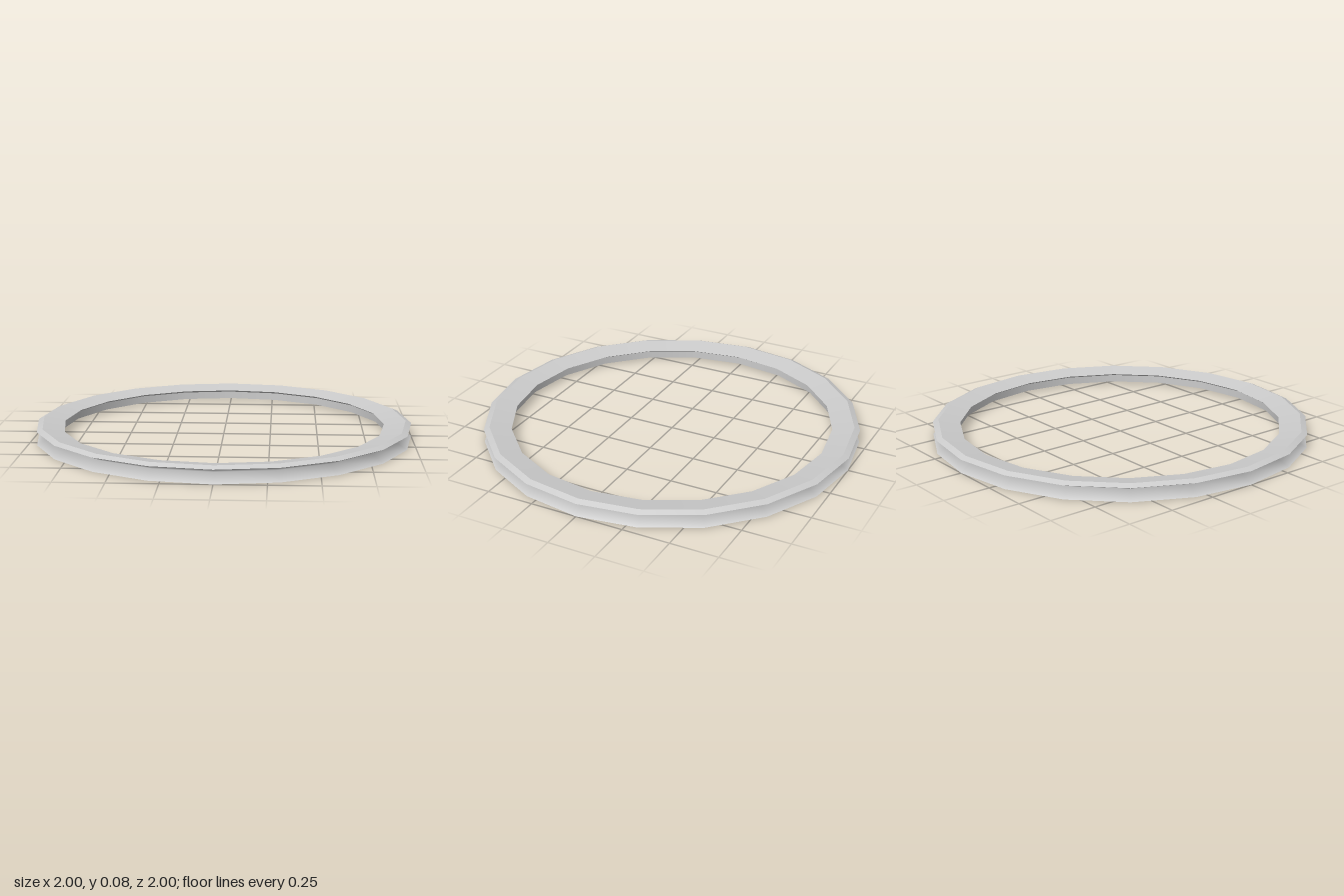
import * as THREE from 'three';

const SIDES = 20;

// One band of the ring: a short profile of [radius, height] points, turned round the y axis
function band(name, points, material) {
  const profile = points.map(([r, y]) => new THREE.Vector2(r, y));
  const mesh = new THREE.Mesh(new THREE.LatheGeometry(profile, SIDES), material);
  mesh.name = name;
  return mesh;
}

export function createModel() {
  const group = new THREE.Group();
  group.name = 'groovedRing';
  const material = new THREE.MeshStandardMaterial({ color: 0xcccccc });

  // Corners of the cross-section
  const outerBottom = [1, 0];
  const grooveFloor = [0.93, 0.04];
  const outerTop = [1, 0.07];
  const bevelTop = [0.97, 0.083];
  const lipEdge = [0.855, 0.063];
  const lipRoot = [0.875, 0.052];
  const innerBottom = [0.875, 0.012];

  // Separate bands keep the edges between them sharp
  group.add(
    band('outerGroove', [outerBottom, grooveFloor, outerTop], material),
    band('topBevel', [outerTop, bevelTop], material),
    band('topFace', [bevelTop, lipEdge], material),
    band('innerLip', [lipEdge, lipRoot], material),
    band('innerWall', [lipRoot, innerBottom], material),
    band('bottomFace', [innerBottom, outerBottom], material),
  );
  return group;
}
